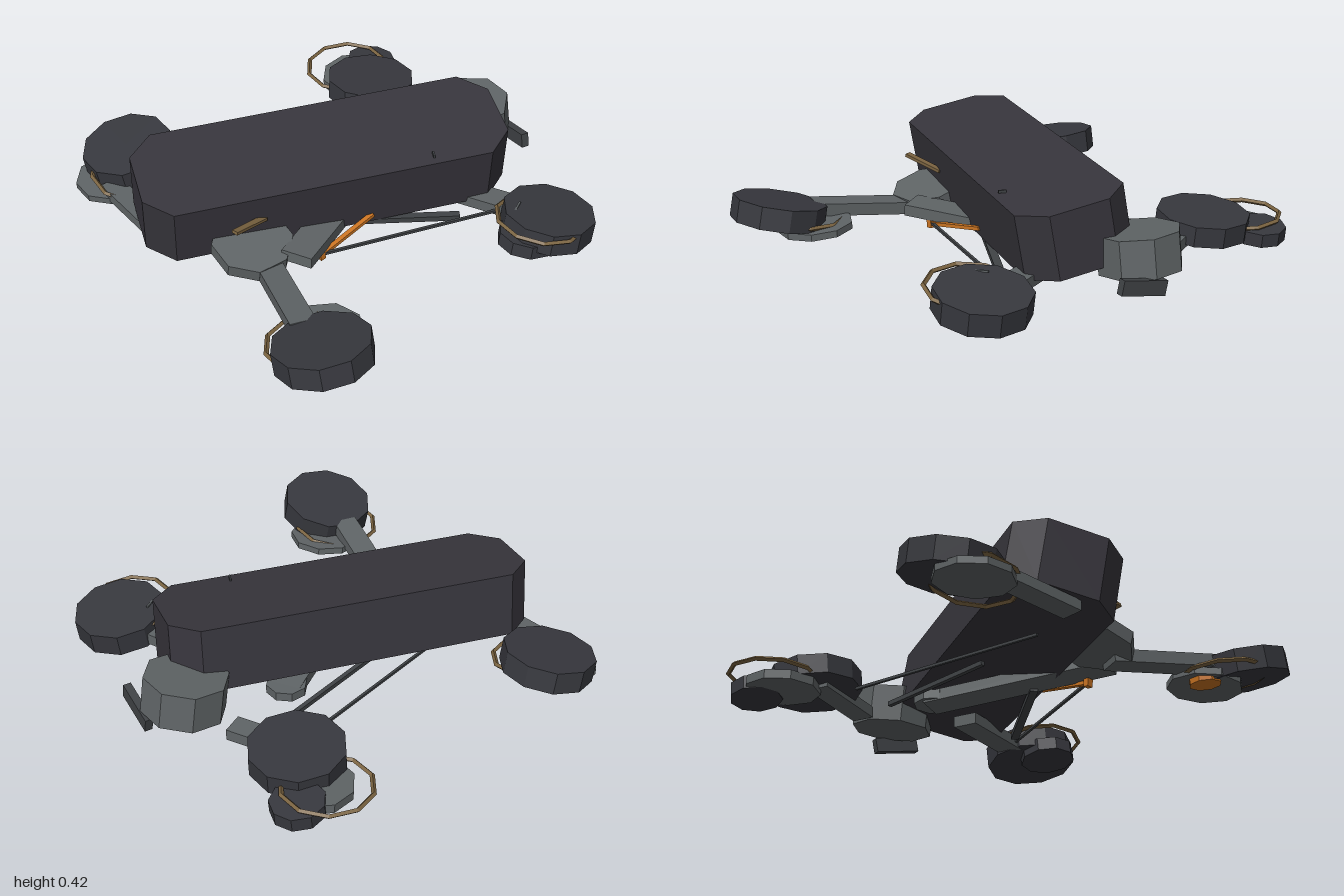
import * as THREE from 'three';

const V = (a) => new THREE.Vector3(...a);

function flat(name, color) {
  const m = new THREE.MeshStandardMaterial({ color, flatShading: true });
  m.name = name;
  return m;
}

export function createModel() {
  const root = new THREE.Group();
  root.name = 'collapsedMachine';
  const hullMat = flat('hullDark', 0x37353c);
  const podMat = flat('podDark', 0x37383e);
  const greyMat = flat('frameGrey', 0x5f6466);
  const barMat = flat('barGrey', 0x404346);
  const tanMat = flat('dullBronze', 0x7a6340);
  const orangeMat = flat('orange', 0xcc7522);

  function add(name, geometry, material) {
    const mesh = new THREE.Mesh(geometry, material);
    mesh.name = name;
    root.add(mesh);
    return mesh;
  }
  // tilts a part so its own y axis follows the normal
  function tilt(mesh, pos, normal) {
    mesh.position.set(...pos);
    mesh.quaternion.setFromUnitVectors(new THREE.Vector3(0, 1, 0), V(normal).normalize());
    return mesh;
  }
  function disc(name, pos, radius, height, sides, normal, material) {
    const g = new THREE.CylinderGeometry(radius, radius, height, sides);
    g.rotateY(Math.PI / sides);
    return tilt(add(name, g, material), pos, normal);
  }
  function ring(name, pos, normal) {
    const g = new THREE.TorusGeometry(0.19, 0.011, 4, 10);
    g.rotateX(Math.PI / 2);
    return tilt(add(name, g, tanMat), pos, normal);
  }
  // box running between two points
  function beam(name, a, b, width, height, material) {
    const from = V(a), to = V(b);
    const mesh = add(name, new THREE.BoxGeometry(width, height, from.distanceTo(to)), material);
    mesh.position.copy(from).add(to).multiplyScalar(0.5);
    mesh.lookAt(to);
    return mesh;
  }

  // long chamfered hull, tipped over to one side
  const w = 0.24, l = 0.805, c = 0.11, depth = 0.285;
  const outline = [[-w, l - c], [-w + c, l], [w - c, l], [w, l - c],
    [w, -l + c], [w - c, -l], [-w + c, -l], [-w, -l + c]];
  const hullGeo = new THREE.ExtrudeGeometry(
    new THREE.Shape(outline.map(([x, y]) => new THREE.Vector2(x, y))),
    { depth, bevelEnabled: false });
  hullGeo.translate(0, 0, -depth);
  const hull = add('hull', hullGeo, hullMat);
  const up = V([0.15, 1, 0.072]).normalize();
  const along = V([0.32, 0, -0.947]);
  along.addScaledVector(up, -along.dot(up)).normalize();
  const across = along.clone().cross(up);
  hull.quaternion.setFromRotationMatrix(new THREE.Matrix4().makeBasis(across, along, up));
  hull.position.set(-0.045, 0.367, 0.1);

  // four large pods
  disc('frontRightPod', [-0.77, 0.115, 0.65], 0.203, 0.1, 10, [0, 1, 0.18], podMat);
  disc('frontLeftPod', [0.785, 0.118, 0.67], 0.207, 0.1, 10, [-0.23, 1, 0.02], podMat);
  disc('backLeftPod', [0.655, 0.085, -0.595], 0.203, 0.1, 10, [0, 1, -0.15], podMat);
  disc('backRightPod', [-0.59, 0.1, -0.56], 0.205, 0.09, 10, [-0.05, 1, -0.08], podMat);

  // smaller plates lying beneath the pods
  disc('frontRightPlate', [-0.74, 0.035, 0.755], 0.165, 0.03, 9, [0, 1, 0.06], greyMat);
  disc('frontLeftPlate', [0.66, 0.05, 0.57], 0.165, 0.03, 9, [0.04, 1, 0.05], greyMat);
  disc('frontLeftCap', [0.61, 0.035, 0.62], 0.07, 0.03, 8, [-0.1, 1, 0], orangeMat);
  disc('backRightPlate', [-0.735, 0.05, -0.585], 0.165, 0.04, 9, [0, 1, 0.05], greyMat);
  disc('backRightCap', [-0.79, 0.05, -0.71], 0.115, 0.06, 9, [0, 1, -0.1], podMat);
  disc('backLeftCap', [0.66, 0.05, -0.475], 0.125, 0.06, 9, [0, 1, -0.15], podMat);

  // thin hoops
  ring('frontRightHoop', [-0.68, 0.08, 0.675], [0.17, 1, 0]);
  ring('frontLeftHoop', [0.69, 0.075, 0.655], [-0.1, 1, 0]);
  ring('backLeftHoop', [0.665, 0.125, -0.54], [0, 1, -0.14]);
  ring('backRightHoop', [-0.795, 0.08, -0.57], [0.02, 1, 0.03]);

  // arms to the pods
  beam('frontRightArm', [-0.68, 0.055, 0.8], [-0.27, 0.04, 0.775], 0.1, 0.045, greyMat);
  beam('frontLeftArm', [0.15, 0.04, 0.52], [0.62, 0.105, 0.65], 0.11, 0.055, greyMat);
  beam('backLeftArm', [0.08, 0.04, -0.36], [0.58, 0.08, -0.58], 0.11, 0.05, greyMat);
  beam('backRightArm', [-0.62, 0.07, -0.49], [-0.27, 0.07, -0.65], 0.1, 0.05, greyMat);

  // frame under the hull
  disc('shoulderPlate', [0.06, 0.09, 0.53], 0.175, 0.06, 8, [0.22, 1, 0.05], greyMat);
  beam('spinePlate', [-0.16, 0.035, -0.3], [0.245, 0.085, 0.43], 0.14, 0.05, greyMat);
  disc('spineEnd', [-0.15, 0.04, -0.28], 0.09, 0.04, 8, [0, 1, 0], greyMat);

  // tall drum at the back with a loose bar
  disc('backDrum', [-0.05, 0.16, -0.73], 0.182, 0.165, 8, [0, 1, 0.14], greyMat);
  beam('looseBar', [-0.03, 0.055, -0.9], [0.18, 0.1, -0.87], 0.035, 0.065, barMat);

  // rods and splinters
  beam('rightRod', [-0.48, 0.05, -0.4], [-0.26, 0.02, 0.55], 0.012, 0.012, barMat);
  beam('leftRod', [0.47, 0.07, -0.48], [0.24, 0.04, 0.28], 0.012, 0.012, barMat);
  beam('rightBar', [-0.31, 0.02, -0.39], [-0.22, 0.05, 0.15], 0.02, 0.02, barMat);
  beam('leftBar', [0.36, 0.025, -0.35], [0.1, 0.04, 0.1], 0.035, 0.025, barMat);
  beam('orangeStrut', [0.235, 0.035, 0.3], [0.195, 0.09, 0], 0.022, 0.016, orangeMat);
  beam('orangeStrutEnd', [0.235, 0.033, 0.31], [0.232, 0.036, 0.285], 0.03, 0.035, orangeMat);
  beam('bronzeSplinter', [0.108, 0.238, 0.64], [0.055, 0.195, 0.46], 0.03, 0.014, tanMat);
  beam('hullSplinter', [0.265, 0.352, -0.265], [0.295, 0.352, -0.25], 0.008, 0.012, barMat);
  beam('podSplinter', [0.56, 0.155, -0.515], [0.595, 0.15, -0.455], 0.008, 0.008, greyMat);

  return root;
}
